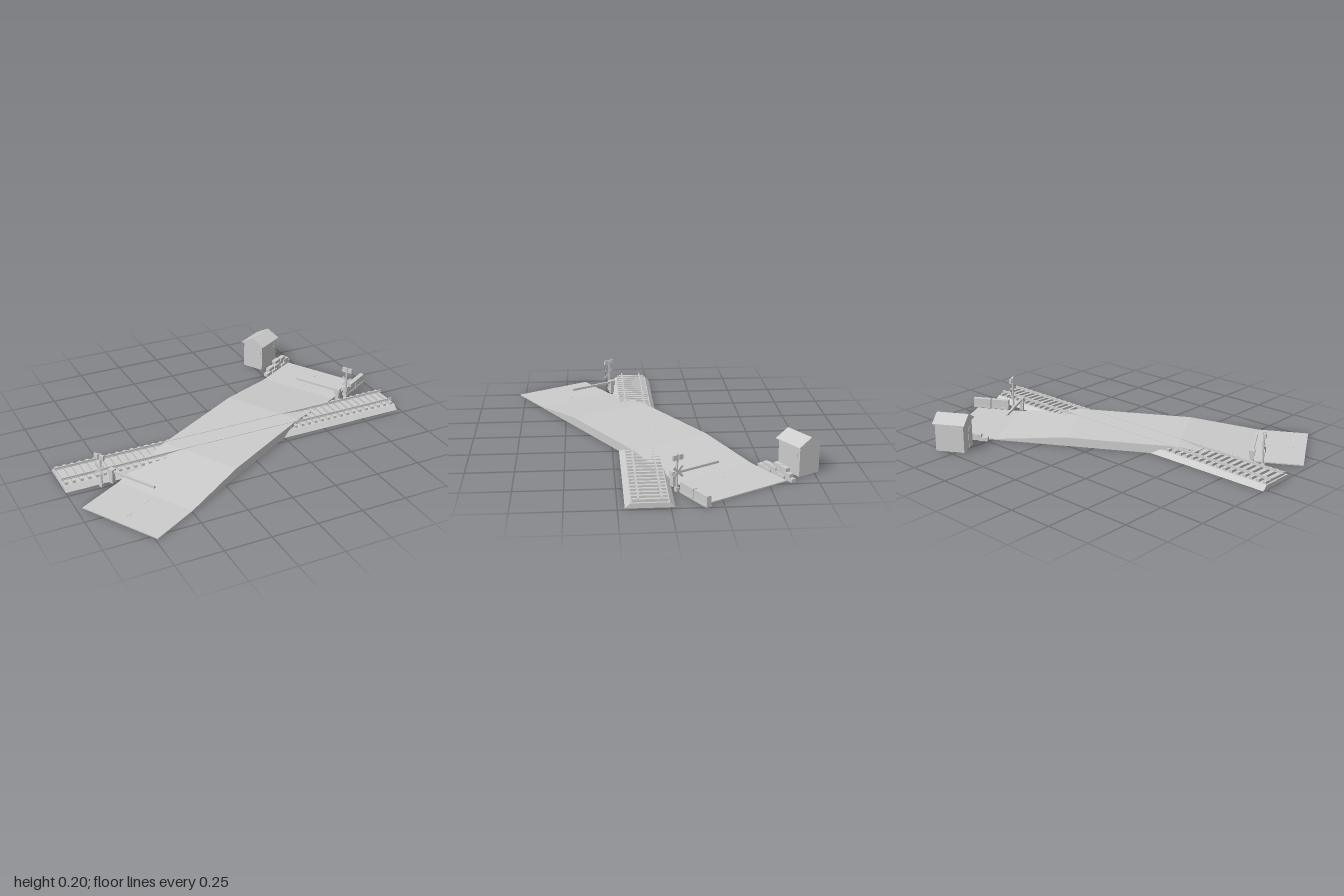
import * as THREE from 'three';

const grey = new THREE.MeshStandardMaterial({ color: 0xcccccc });
grey.name = 'plain grey';

function add(parent, name, geometry, x = 0, y = 0, z = 0) {
  const mesh = new THREE.Mesh(geometry, grey);
  mesh.name = name;
  mesh.position.set(x, y, z);
  parent.add(mesh);
  return mesh;
}

// Box standing on height y
function box(parent, name, w, h, d, x, y, z) {
  return add(parent, name, new THREE.BoxGeometry(w, h, d), x, y + h / 2, z);
}

// Profile in x/y, extruded along z and centred
function prism(points, depth) {
  const shape = new THREE.Shape(points.map(p => new THREE.Vector2(...p)));
  return new THREE.ExtrudeGeometry(shape, { depth, bevelEnabled: false }).translate(0, 0, -depth / 2);
}

function group(parent, name, x = 0, y = 0, z = 0) {
  const g = new THREE.Group();
  g.name = name;
  g.position.set(x, y, z);
  parent.add(g);
  return g;
}

// Ballast bed, sleepers and two rails
function buildTrack(parent) {
  const track = group(parent, 'railwayTrack', -0.008, 0, 0.0975);
  const bed = add(track, 'ballastBed', prism(
    [[-0.118, 0], [0.118, 0], [0.093, 0.025], [-0.093, 0.025]], 1.984));
  bed.rotation.y = Math.PI / 2;
  for (let i = 0; i < 48; i++) {
    box(track, 'sleeper', 0.017, 0.014, 0.172, -0.974 + i * 0.0414, 0.025, 0);
  }
  for (const side of [-1, 1]) {
    box(track, 'railFoot', 1.984, 0.004, 0.01, 0, 0.038, side * 0.055);
    box(track, 'railHead', 1.984, 0.01, 0.006, 0, 0.041, side * 0.055);
  }
}

// Crossed boards, twin lamps and a lowered gate for one approach
function buildSignals(parent) {
  const approach = group(parent, 'crossingSignals');
  const sign = group(approach, 'crossingSign', -0.768, 0, -0.283);
  add(sign, 'signPost', new THREE.CylinderGeometry(0.006, 0.006, 0.19, 8), 0, 0.095, 0);
  box(sign, 'signFoot', 0.02, 0.02, 0.02, 0, 0, 0);
  for (const side of [-1, 1]) {
    const board = add(sign, 'crossBoard', new THREE.BoxGeometry(0.004, 0.012, 0.076), -0.008 - side * 0.001, 0.102, 0);
    board.rotation.x = side * Math.PI / 4;
    box(sign, 'lampHousing', 0.012, 0.026, 0.024, -0.006, 0.163, side * 0.018);
  }
  box(sign, 'lampBar', 0.006, 0.008, 0.05, 0, 0.172, 0);

  const gate = group(approach, 'gate', -0.709, 0, -0.262);
  box(gate, 'gatePost', 0.022, 0.066, 0.022, 0, 0, 0);
  box(gate, 'gateHousing', 0.03, 0.028, 0.03, 0, 0.052, 0);
  box(gate, 'gateArm', 0.012, 0.012, 0.29, 0, 0.062, 0.128);
  return approach;
}

// Small gabled hut with a door and a window
function buildHut(parent) {
  const hut = group(parent, 'hut', 0.886, 0, -0.3845);
  box(hut, 'hutWalls', 0.16, 0.158, 0.13, 0, 0, 0);
  const roof = add(hut, 'hutRoof', prism([[-0.078, 0.154], [0.078, 0.154], [0.078, 0.158], [0, 0.2], [-0.078, 0.158]], 0.18));
  roof.rotation.y = Math.PI / 2;
  box(hut, 'hutDoor', 0.004, 0.11, 0.045, -0.08, 0.005, 0.03);
  box(hut, 'hutWindow', 0.014, 0.03, 0.004, 0.058, 0.1, 0.065);
}

// Stepped stack of staggered blocks
function buildBlockStack(parent) {
  const stack = group(parent, 'blockStack', 0.873, 0, -0.254);
  const rows = [{ n: 5, x: 0, z: 0.006 }, { n: 4, x: 0.008, z: 0 }, { n: 2, x: 0.03, z: -0.004 }];
  rows.forEach(({ n, x, z }, level) => {
    for (let i = 0; i < n; i++) {
      box(stack, 'stackedBlock', 0.051, 0.019, 0.026, x + (i - (n - 1) / 2) * 0.053,
        level * 0.0195, z + (i % 2 ? 0.003 : -0.003));
    }
  });
}

export function createModel() {
  const model = new THREE.Group();
  model.name = 'levelCrossing';
  buildTrack(model);

  // Everything beside the road shares its slanted frame: x along it, z across it
  const road = group(model, 'roadArea', -0.009, 0, 0.096);
  road.rotation.y = Math.PI / 6;

  // Road humped over the track
  add(road, 'road', prism([[-0.976, 0], [0.976, 0], [0.976, 0.006], [0.7, 0.006],
    [0.31, 0.049], [-0.31, 0.049], [-0.7, 0.006], [-0.976, 0.006]], 0.463));
  for (const side of [-1, 1]) {
    for (const x of [0.76, 0.9]) box(road, 'laneDash', 0.04, 0.001, 0.006, side * x, 0.006, 0);
  }

  // Same signals on both approaches, turned half round
  buildSignals(road);
  buildSignals(road).rotation.y = Math.PI;

  // Low barrier blocks beside the road
  for (const x of [0.843, 0.954]) {
    box(road, 'barrierFoot', 0.105, 0.012, 0.032, x, 0, 0.267);
    box(road, 'barrierBlock', 0.105, 0.044, 0.026, x, 0.011, 0.267);
  }
  buildBlockStack(road);
  buildHut(road);
  return model;
}
